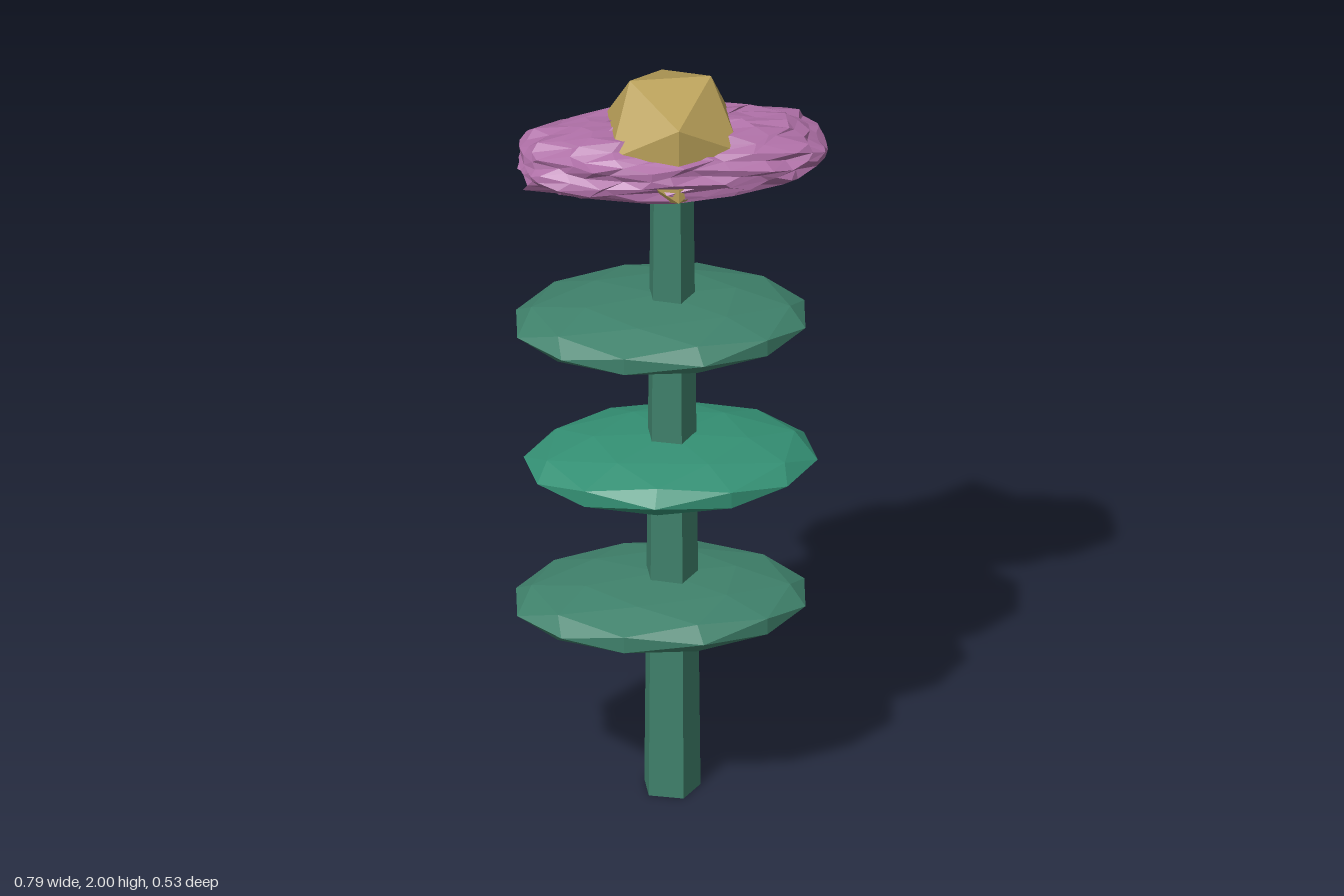
import * as THREE from 'three';

const paint = (color) => new THREE.MeshStandardMaterial({ color, flatShading: true });

function add(group, name, geometry, material, x, y, z) {
  const mesh = new THREE.Mesh(geometry, material);
  mesh.name = name;
  mesh.position.set(x, y, z);
  group.add(mesh);
  return mesh;
}

// Repeatable noise in 0..1 from a point, mirrored across z so both flanks match
function noise(x, y, z, seed) {
  const key = Math.round(x * 500) * 12.9898 + Math.round(y * 500) * 78.233
    + Math.round(Math.abs(z) * 500) * 37.719 + seed * 91.7;
  const s = Math.sin(key) * 43758.5453;
  return s - Math.floor(s);
}

// Flattened faceted disc, turned a little before it is stretched
function leafGeometry(rx, ry, rz, turn) {
  return new THREE.IcosahedronGeometry(1, 1).rotateY(turn).scale(rx, ry, rz);
}

// Ragged flattened ball: blunt at -x, wedge-shaped at +x, with shards along x
function petalGeometry() {
  const geometry = new THREE.IcosahedronGeometry(1, 5);
  const p = geometry.attributes.position;
  for (let i = 0; i < p.count; i++) {
    const x = p.getX(i), y = p.getY(i), z = p.getZ(i);
    const swell = 0.87 + 0.2 * noise(x, y, z, 1);
    const shift = (noise(x, y, z, 2) - 0.5) * 0.09;
    const tip = (noise(x, y, z, 3) - 0.5) * 0.03;
    const py = y * swell * 0.101;
    const pz = z * swell * 0.175;
    const right = 0.385 + tip - 1.2 * Math.abs(py);
    const px = Math.min(right, Math.max(-0.37 + tip, x * 0.43 + shift));
    p.setXYZ(i, px, py, pz);
  }
  geometry.computeVertexNormals();
  return geometry;
}

export function createModel() {
  const flower = new THREE.Group();
  flower.name = 'flower';
  const green = paint(0x3f816b);
  const brightGreen = paint(0x349074);

  // Tapered five-sided stem with one edge toward +x
  const stem = new THREE.CylinderGeometry(0.057, 0.075, 1.75, 5, 1, false, Math.PI / 2);
  add(flower, 'stem', stem, green, -0.005, 0.875, -0.008);

  // Three leaf discs, the middle one brighter and turned the other way
  [
    ['lowerLeaf', 0.54, -0.031, 0.375, 0.2, green],
    ['middleLeaf', 0.932, -0.006, 0.37, -0.2, brightGreen],
    ['upperLeaf', 1.328, -0.031, 0.375, 0.2, green],
  ].forEach(([name, y, x, rx, turn, material]) =>
    add(flower, name, leafGeometry(rx, 0.071, 0.27, turn), material, x, y, 0));

  // Flower head
  add(flower, 'petals', petalGeometry(), paint(0xae6fa6), 0, 1.793, -0.012);
  add(flower, 'flowerCentre', new THREE.IcosahedronGeometry(0.194, 0), paint(0xb9a059),
    -0.005, 1.835, -0.014);

  return flower;
}
